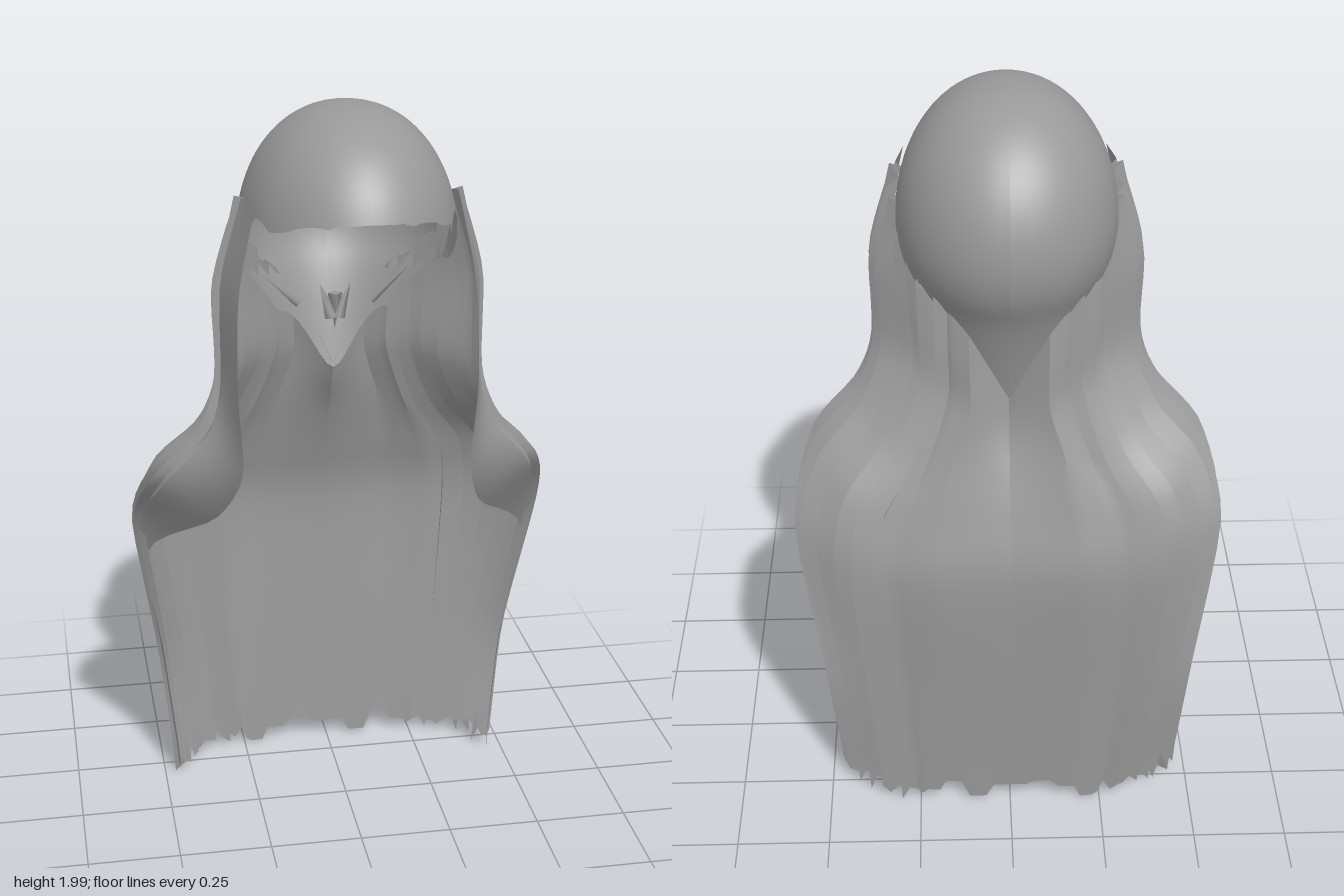
import * as THREE from 'three';
import { toCreasedNormals } from 'three/addons/utils/BufferGeometryUtils.js';

const grey = new THREE.MeshStandardMaterial({ color: 0x999999, side: THREE.DoubleSide });
grey.name = 'hair grey';

// Grid surface: point(i, j) gives a Vector3 for row i and column j
function gridGeometry(rows, cols, point) {
  const pos = [], index = [];
  for (let i = 0; i <= rows; i++)
    for (let j = 0; j <= cols; j++) pos.push(...point(i, j).toArray());
  for (let i = 0; i < rows; i++)
    for (let j = 0; j < cols; j++) {
      const a = i * (cols + 1) + j, b = a + cols + 1;
      index.push(a, b, a + 1, b, b + 1, a + 1);
    }
  const g = new THREE.BufferGeometry();
  g.setAttribute('position', new THREE.Float32BufferAttribute(pos, 3));
  g.setIndex(index);
  return g;
}

function addMesh(group, name, geometry) {
  const m = new THREE.Mesh(geometry, grey);
  m.name = name;
  group.add(m);
  return m;
}

// Seeded value in 0..1
const noise = (n) => { const s = Math.sin(n * 127.1 + 11.7) * 43758.5453; return s - Math.floor(s); };

const lerpTable = (table, x) => {
  for (let k = 1; k < table.length; k++) {
    const [x0, y0] = table[k - 1], [x1, y1] = table[k];
    if (x <= x1) return THREE.MathUtils.lerp(y0, y1, THREE.MathUtils.smoothstep(x, x0, x1));
  }
  return table[table.length - 1][1];
};

// Guide strand from root to chest; the straight fall to the tip is added by rule,
// as is a bulge over the temple on the front strands
const V = (x, y, z) => new THREE.Vector3(x, y, z);
function strand(bulge, tip, ...points) {
  const temple = points[0].clone().lerp(points[1], .45);
  temple.x += bulge;
  const [x, z] = tip;
  const fall = V(x * 1.08, .4, z - .02);
  return new THREE.CatmullRomCurve3([points[0], temple, ...points.slice(1), fall, V(x, .05, z)], false, 'catmullrom', .4);
}

// Strands from the middle of the back round to the front edge
const guides = [
  strand(0, [0, -.335], V(0, 1.24, -.2), V(0, 1.17, -.23), V(0, 1.08, -.28), V(0, .95, -.33), V(0, .78, -.37)),
  strand(0, [.18, -.337], V(.1, 1.45, -.245), V(.1, 1.25, -.27), V(.14, 1.12, -.3), V(.18, .95, -.345), V(.2, .78, -.38)),
  strand(0, [.31, -.325], V(.19, 1.55, -.2), V(.19, 1.28, -.22), V(.25, 1.1, -.27), V(.34, .95, -.32), V(.36, .78, -.355)),
  strand(0, [.39, -.275], V(.25, 1.63, -.1), V(.24, 1.3, -.12), V(.32, 1.12, -.18), V(.43, .98, -.25), V(.46, .8, -.29)),
  strand(.03, [.44, -.23], V(.28, 1.71, 0), V(.32, 1.3, -.02), V(.38, 1.15, -.06), V(.49, 1.03, -.11), V(.545, .83, -.19)),
  strand(.03, [.46, -.19], V(.28, 1.78, .05), V(.345, 1.3, .06), V(.39, 1.17, .07), V(.51, 1.03, .04), V(.555, .84, -.11)),
  strand(.02, [.455, -.17], V(.26, 1.77, .18), V(.31, 1.3, .2), V(.3, 1.08, .18), V(.36, .91, .05), V(.53, .74, -.15)),
];

function hairSide(side) {
  const rows = 32, per = 8, cols = (guides.length - 1) * per;
  return gridGeometry(rows, cols, (i, j) => {
    const k = Math.min(guides.length - 2, Math.floor(j / per)), f = j / per - k, t = i / rows;
    const p = guides[k].getPoint(t).lerp(guides[k + 1].getPoint(t), f);
    // Overlapping locks step down the sides, leaving the back and the front lock smooth
    const layered = j > 2 * per - 4 && j <= 5 * per;
    const lock = Math.floor(j / 4);
    if (layered) {
      const depth = ((j % 4) / 3 - .5) * (.02 + .02 * noise(lock));
      p.addScaledVector(V(p.x, 0, p.z + .05).normalize(), depth);
    }
    // Ragged tips and stepped roots
    if (i === rows) p.y += (noise((layered ? j : Math.floor(j / 3)) * (2 + side * .1)) - .6) * .07;
    if (i === 0 && layered) p.y += (noise(lock + 50) - .5) * .04;
    p.x *= side;
    return p;
  });
}

export function createModel() {
  const group = new THREE.Group();
  group.name = 'longHair';

  // Rounded crown with a short fringe and a pointed nape
  const rim = [[0, 1.21], [.6, 1.26], [.95, 1.36], [1.15, 1.3], [1.6, 1.85], [2.4, 2.3], [Math.PI, 2.5]];
  const rows = 28, cols = 64;
  const crown = gridGeometry(rows, cols, (i, j) => {
    const a = (j / cols) * Math.PI * 2 - Math.PI;
    let phi = lerpTable(rim, Math.abs(a)) * i / rows;
    if (i === rows && Math.abs(a) < 1) phi += .02 * (noise(Math.abs(j - 32)) - .5);
    const c = Math.cos(phi), ca = Math.cos(a);
    // Slightly fuller than an ellipsoid above the temples
    const s = Math.pow(Math.sin(phi), c > 0 ? .91 - .07 * ca : 1);
    const nape = Math.max(0, (phi - 2.05) / .45);
    return V(.28 * s * Math.sin(a), 1.66 + c * (c > 0 ? .34 : .3) - .19 * nape * nape,
      s * ca * (ca > 0 ? .395 : .33));
  });
  crown.computeVertexNormals();
  addMesh(group, 'crown', crown);

  // Draped hair, one sheet on each side
  for (const [side, name] of [[1, 'leftHair'], [-1, 'rightHair']]) {
    addMesh(group, name, toCreasedNormals(hairSide(side), 0.5));

    // Loose wisp inside the nape
    const wisp = addMesh(group, name + 'Wisp', new THREE.ConeGeometry(.012, .14, 4));
    wisp.position.set(side * .15, 1.47, -.17);
    wisp.rotation.z = side * -.85;
    wisp.scale.z = .4;
  }

  // Small forked tuft at the nape
  for (const k of [-1, 0, 1]) {
    const tuft = addMesh(group, 'napeTuft', new THREE.ConeGeometry(.02, .1, 4));
    tuft.position.set(k * .025, k ? 1.43 : 1.4, -.17);
    tuft.rotation.z = k ? -k * .35 : Math.PI;
  }
  return group;
}
